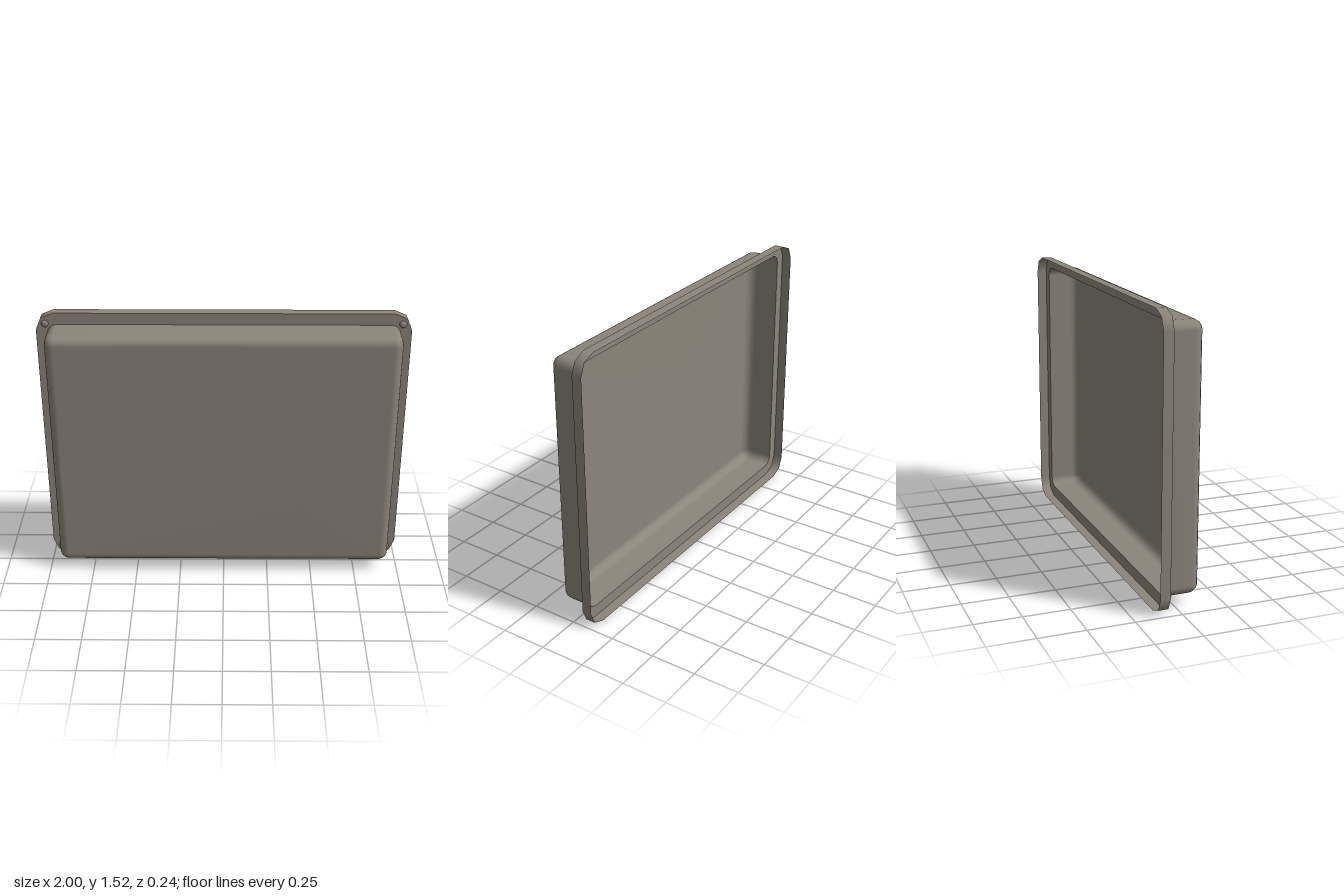
import * as THREE from 'three';

const H = 1.525, CY = H / 2;
const FLANGE_Z = -0.065, BACK_Z = -0.12, FRONT_Z = 0.12;

// Counter-clockwise rounded rectangle, centred on the origin
function roundedRect(hw, hh, r, seg) {
  const pts = [];
  const corners = [[1, 1], [-1, 1], [-1, -1], [1, -1]];
  corners.forEach(([sx, sy], q) => {
    for (let i = 0; i <= seg; i++) {
      const a = (q + i / seg) * Math.PI / 2;
      pts.push(new THREE.Vector2(sx * (hw - r) + r * Math.cos(a), sy * (hh - r) + r * Math.sin(a)));
    }
  });
  return pts;
}

// Skin through rings of equal point count, optionally closed by a flat front
function loft(rings, capped) {
  const pos = [], index = [], n = rings[0].pts.length;
  for (const { pts, z } of rings) for (const p of pts) pos.push(p.x, p.y, z);
  for (let k = 0; k < rings.length - 1; k++) {
    for (let i = 0; i < n; i++) {
      const j = (i + 1) % n, a = k * n, b = a + n;
      index.push(a + i, a + j, b + j, a + i, b + j, b + i);
    }
  }
  if (capped) {
    const last = (rings.length - 1) * n, c = pos.length / 3;
    pos.push(0, 0, rings[rings.length - 1].z);
    for (let i = 0; i < n; i++) index.push(c, last + i, last + (i + 1) % n);
  }
  const g = new THREE.BufferGeometry();
  g.setAttribute('position', new THREE.Float32BufferAttribute(pos, 3));
  g.setIndex(index);
  g.computeVertexNormals();
  return g;
}

export function createModel() {
  const group = new THREE.Group();
  const metal = new THREE.MeshStandardMaterial({ color: 0x8c857b, side: THREE.DoubleSide });
  metal.name = 'warm grey metal';

  const add = (name, geometry, x = 0, y = CY, z = 0) => {
    const m = new THREE.Mesh(geometry, metal);
    m.name = name;
    m.position.set(x, y, z);
    group.add(m);
    return m;
  };

  // Hollow pan with filleted front edges, open at the back
  const bw = 0.94, bh = 0.698, r = 0.05, steps = 4;
  const rings = [{ pts: roundedRect(bw, bh, r, 3), z: FLANGE_Z }];
  for (let i = 0; i <= steps; i++) {
    const a = (i / steps) * Math.PI / 2, inset = r * (1 - Math.cos(a));
    rings.push({
      pts: roundedRect(bw - inset, bh - inset, Math.max(r - inset, 0.002), 3),
      z: FRONT_Z - r + r * Math.sin(a),
    });
  }
  add('pan', loft(rings, true));

  // Flat flange around the pan
  const outer = roundedRect(1, CY, 0.095, 2);
  const flange = new THREE.Shape(outer);
  flange.holes.push(new THREE.Path(roundedRect(bw, bh, r, 3).reverse()));
  add('flange', new THREE.ShapeGeometry(flange), 0, CY, FLANGE_Z);

  // Thin lip turned back from the flange edge
  add('lip', loft([{ pts: outer, z: BACK_Z }, { pts: outer, z: FLANGE_Z }], false));

  // Domed rivets at the four corners
  const dome = new THREE.SphereGeometry(0.02, 12, 5, 0, Math.PI * 2, 0, Math.PI / 2);
  dome.rotateX(Math.PI / 2);
  dome.scale(1, 1, 0.65);
  for (const sx of [-1, 1]) for (const sy of [-1, 1]) {
    add('rivet', dome, sx * 0.95, CY + sy * 0.703, FLANGE_Z);
  }
  return group;
}
